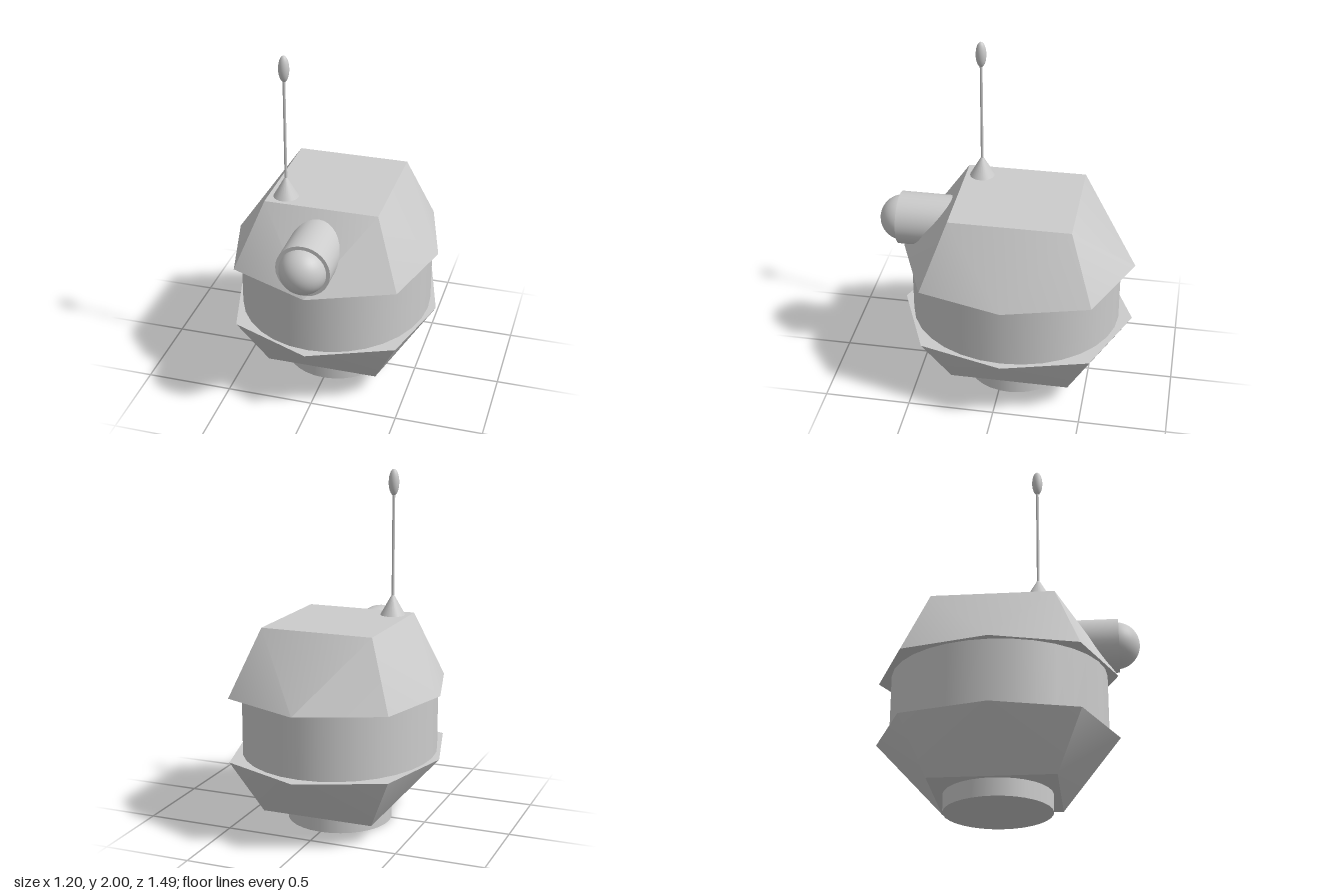
import * as THREE from 'three';
import { toCreasedNormals } from 'three/addons/utils/BufferGeometryUtils.js';

const MID_Z = -0.06; // body axis

export function createModel() {
  const model = new THREE.Group();
  const material = new THREE.MeshStandardMaterial({ color: 0xcccccc });

  function add(name, geometry, x, y, z) {
    const mesh = new THREE.Mesh(geometry, material);
    mesh.name = name;
    mesh.position.set(x, y, z);
    model.add(mesh);
    return mesh;
  }

  // Faceted shell: eight-cornered rim tapering to a rectangular cap, closed on both ends
  function shell(rimY, capY) {
    const at = (y) => ([x, z]) => new THREE.Vector3(x, y, z);
    const cap = [[0.325, 0.28], [0.325, -0.41], [-0.325, -0.41], [-0.325, 0.28]].map(at(capY));
    const corner = [[0.47, 0.42], [0.47, -0.545], [-0.47, -0.545], [-0.47, 0.42]].map(at(rimY));
    const mid = [[0.6, MID_Z], [0, -0.745], [-0.6, MID_Z], [0, 0.615]].map(at(rimY));
    const centre = new THREE.Vector3(0, rimY, MID_Z);
    const points = [];
    const tri = (a, b, c) => points.push(...(capY > rimY ? [a, b, c] : [a, c, b]));
    for (let i = 0; i < 4; i++) {
      const j = (i + 1) % 4;
      tri(cap[i], corner[i], mid[i]);
      tri(cap[i], mid[i], cap[j]);
      tri(cap[j], mid[i], corner[j]);
      tri(centre, mid[i], corner[i]);
      tri(centre, corner[j], mid[i]);
    }
    tri(cap[0], cap[1], cap[2]);
    tri(cap[0], cap[2], cap[3]);
    const geometry = new THREE.BufferGeometry().setFromPoints(points);
    geometry.computeVertexNormals();
    return toCreasedNormals(geometry, 0.5);
  }

  // Body: foot, lower shell, oval drum, upper shell
  add('foot', new THREE.CylinderGeometry(0.302, 0.302, 0.12, 32), 0, 0.06, MID_Z);
  add('lowerShell', shell(0.41, 0.1), 0, 0, 0);
  const drum = add('drum', new THREE.CylinderGeometry(0.554, 0.554, 0.39, 32), 0, 0.595, -0.055);
  drum.scale.z = 1.1;
  add('upperShell', shell(0.78, 1.165), 0, 0, 0);

  // Eye: forward-facing tube with a domed lens
  const tube = new THREE.CylinderGeometry(0.153, 0.153, 0.42, 32).rotateX(Math.PI / 2);
  add('eyeTube', tube, 0, 0.967, 0.415);
  add('eyeLens', new THREE.SphereGeometry(0.133, 32, 20), 0, 0.967, 0.61);

  // Antenna: cone base, thin rod, elongated tip
  const ax = -0.228, az = 0.185;
  add('antennaBase', new THREE.ConeGeometry(0.073, 0.13, 24), ax, 1.228, az);
  add('antennaRod', new THREE.CylinderGeometry(0.008, 0.008, 0.62, 12), ax, 1.56, az);
  const tip = add('antennaTip', new THREE.SphereGeometry(0.03, 20, 14), ax, 1.925, az);
  tip.scale.y = 2.5;

  return model;
}
